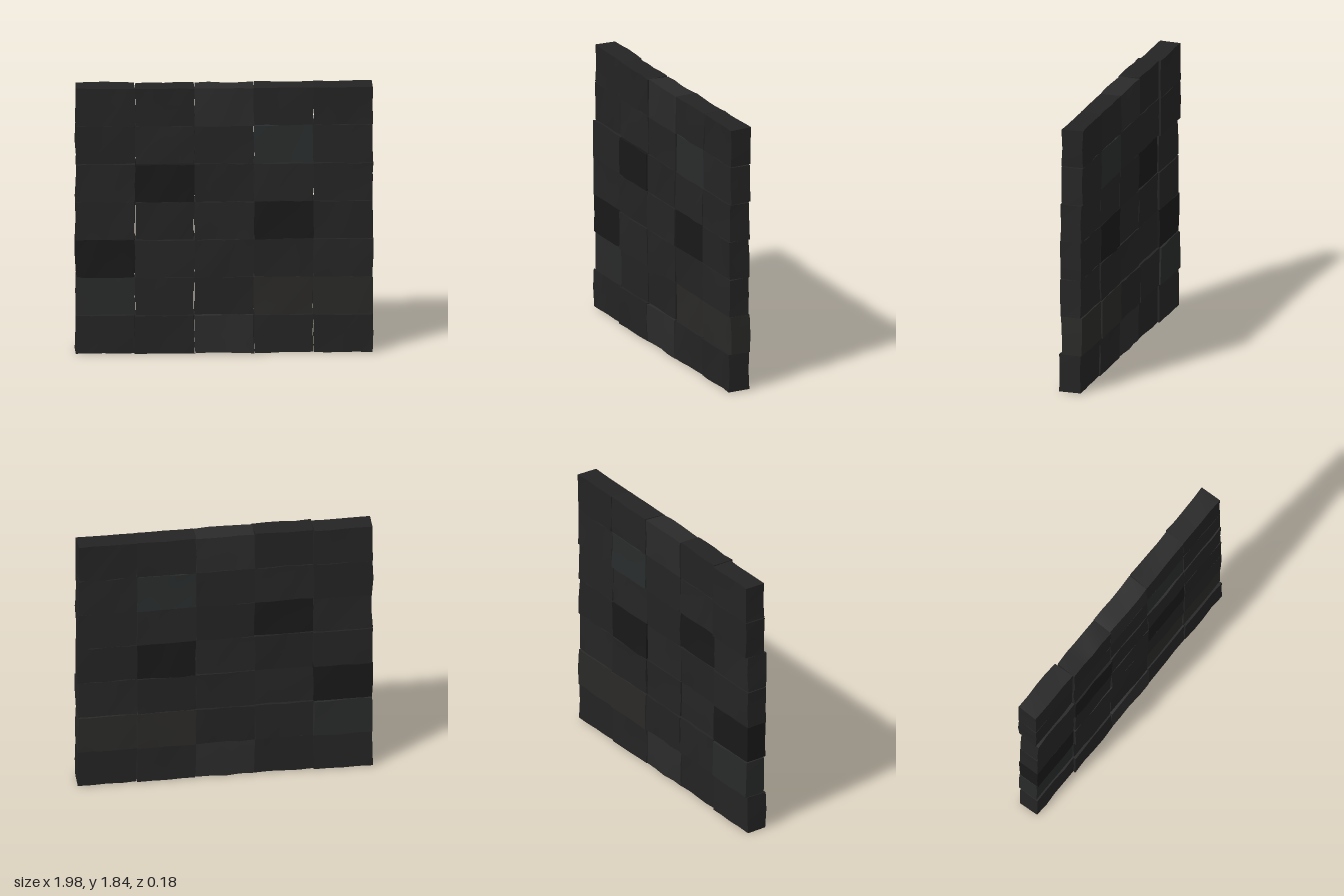
import * as THREE from 'three';
import { mergeVertices, toCreasedNormals } from 'three/addons/utils/BufferGeometryUtils.js';

const COLS = 5, ROWS = 7;
const PITCH_X = 0.395, PITCH_Y = 0.2625;
const WIDTH = 0.392, HEIGHT = 0.26, DEPTH = 0.146;

// depth offsets that make the rows (bottom to top) and columns step in and out
const ROW_Z = [0.007, -0.006, 0.004, 0.002, 0.005, -0.006, -0.004];
const COL_Z = [-0.006, 0.005, 0.002, -0.004, -0.001];

// stones that stand out from the common grey, keyed "column,row"
const TINTS = {
  '0,2': 0x191919, '1,4': 0x191919, '3,3': 0x191919,
  '2,0': 0x2a2b2a, '0,1': 0x282a29, '3,5': 0x292c2c,
  '3,1': 0x2a2927, '4,1': 0x292927, '2,6': 0x2a2a2a,
};
const GREYS = [0x242424, 0x252526, 0x232324];

function seeded(seed) {
  let s = seed;
  return () => {
    s = (s * 1664525 + 1013904223) % 4294967296;
    return s / 2147483648 - 1; // -1 to 1
  };
}

// a box whose shared vertices are nudged to give a hand-cut, uneven block
function stoneGeometry(random) {
  const box = new THREE.BoxGeometry(WIDTH, HEIGHT, DEPTH, 4, 2, 1);
  box.deleteAttribute('normal');
  box.deleteAttribute('uv');
  const geometry = mergeVertices(box, 1e-4);
  const p = geometry.attributes.position;
  for (let i = 0; i < p.count; i++) {
    p.setXYZ(i,
      p.getX(i) + random() * 0.006,
      p.getY(i) + random() * 0.004,
      p.getZ(i) + random() * 0.004);
  }
  return toCreasedNormals(geometry, 0.6);
}

export function createModel() {
  const wall = new THREE.Group();
  wall.name = 'stoneWall';
  const random = seeded(71);

  for (let row = 0; row < ROWS; row++) {
    const course = new THREE.Group();
    course.name = `course${row + 1}`;
    course.position.y = 0.008 + PITCH_Y * (row + 0.5);
    for (let col = 0; col < COLS; col++) {
      const color = TINTS[`${col},${row}`] ?? GREYS[(col * 2 + row) % 3];
      const stone = new THREE.Mesh(
        stoneGeometry(random),
        new THREE.MeshStandardMaterial({ color }),
      );
      stone.name = `stone${col + 1}`;
      stone.position.set(
        (col - (COLS - 1) / 2) * PITCH_X,
        0,
        ROW_Z[row] + COL_Z[col] + random() * 0.004);
      course.add(stone);
    }
    wall.add(course);
  }
  return wall;
}
